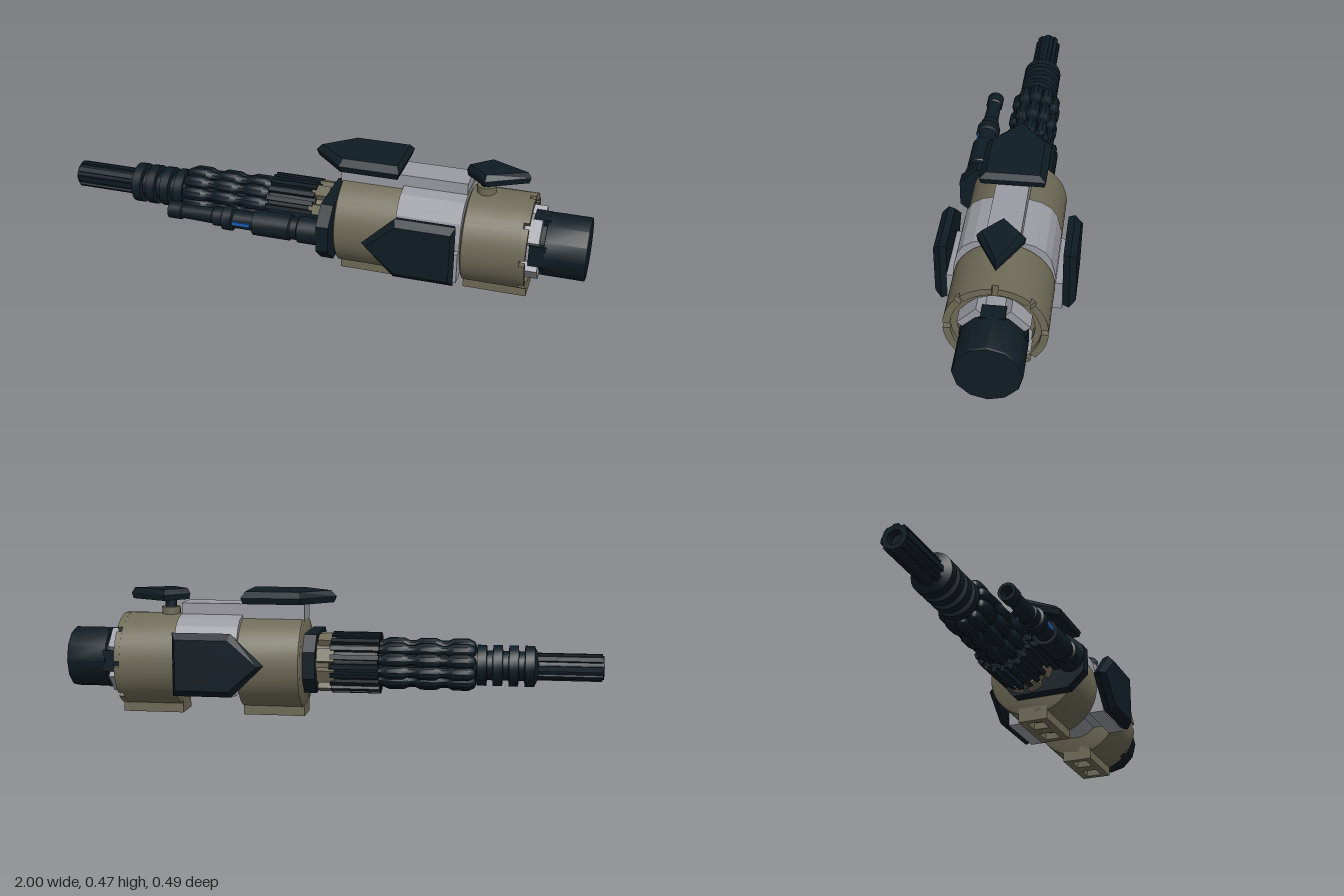
import * as THREE from 'three';
import { toCreasedNormals } from 'three/addons/utils/BufferGeometryUtils.js';

const AXIS = 0.2; // height of the main axis
const mat = (color) => new THREE.MeshStandardMaterial({ color, side: THREE.DoubleSide });
const DARK = mat(0x0f1c24), KHAKI = mat(0x6f6b58), GREY = mat(0x9b9ca3), BLUE = mat(0x1d5fb4);

export function createModel() {
  const model = new THREE.Group();

  const add = (name, geo, material, x = 0, y = 0, z = 0, parent = model) => {
    const mesh = new THREE.Mesh(geo, material);
    mesh.name = name;
    mesh.position.set(x, y, z);
    parent.add(mesh);
    return mesh;
  };
  const box = (name, material, x0, x1, y0, y1, z0, z1) =>
    add(name, new THREE.BoxGeometry(x1 - x0, y1 - y0, z1 - z0), material, (x0 + x1) / 2, (y0 + y1) / 2, (z0 + z1) / 2);

  // Turned part along x from [x, radius] pairs
  const turned = (pts, sides = 32) => {
    const g = new THREE.LatheGeometry(pts.map(([x, r]) => new THREE.Vector2(r, x)), sides);
    g.rotateZ(-Math.PI / 2);
    return toCreasedNormals(g, 0.6);
  };
  const shapeOf = (pts) => new THREE.Shape(pts.map(([a, b]) => new THREE.Vector2(a, b)));
  // Cross-section given as [z, y], extruded from x0 to x1
  const section = (shape, x0, x1) => {
    const g = new THREE.ExtrudeGeometry(shape, { depth: x1 - x0, bevelEnabled: false, curveSegments: 6 });
    g.rotateY(Math.PI / 2);
    g.translate(x0, 0, 0);
    return g;
  };
  // Repeat a box around the main axis
  const ring = (name, n, material, x0, x1, r0, r1, width, phase = 0) => {
    const group = new THREE.Group();
    group.name = name;
    group.position.y = AXIS;
    for (let i = 0; i < n; i++) {
      const g = new THREE.BoxGeometry(x1 - x0, r1 - r0, width);
      g.translate((x0 + x1) / 2, (r0 + r1) / 2, 0);
      add(name + 'Piece', g, material, 0, 0, 0, group).rotation.x = phase + (i / n) * Math.PI * 2;
    }
    model.add(group);
  };

  // Hollow fluted barrel
  add('barrel', turned([[-0.97, 0], [-0.97, 0.026], [-1, 0.026], [-1, 0.044], [-0.7, 0.044]], 16), DARK, 0, AXIS);
  ring('barrelFlute', 8, DARK, -0.995, -0.72, 0.035, 0.05, 0.02);

  // Grooved neck
  const neck = [[-0.765, 0.044], [-0.755, 0.066]];
  for (let i = 0; i < 4; i++) {
    const x = -0.75 + i * 0.058;
    neck.push([x, 0.076], [x + 0.034, 0.076], [x + 0.036, 0.055], [x + 0.056, 0.055]);
  }
  add('neckRings', turned(neck, 24), DARK, 0, AXIS);

  // Bundle of bulging rods
  add('rodCore', turned([[-0.55, 0], [-0.55, 0.064], [-0.17, 0.064]], 20), DARK, 0, AXIS);
  const rod = [[-0.54, 0], [-0.535, 0.014]];
  for (let i = 0; i < 3; i++) {
    const x = -0.53 + i * 0.12;
    rod.push([x, 0.019], [x + 0.02, 0.028], [x + 0.075, 0.028], [x + 0.095, 0.019], [x + 0.115, 0.019]);
  }
  const rodGeo = turned(rod, 10);
  for (let i = 0; i < 10; i++) {
    const a = (i / 10) * Math.PI * 2;
    add('rod', rodGeo, DARK, 0, AXIS + 0.07 * Math.cos(a), 0.07 * Math.sin(a));
  }

  // Ribbed grip
  add('ribbedSleeve', turned([[-0.18, 0], [-0.18, 0.1], [0, 0.1], [0, 0]]), DARK, 0, AXIS);
  ring('sleeveRib', 20, DARK, -0.185, -0.005, 0.09, 0.115, 0.018);

  // Notched collar and flange in front of the drum
  add('collar', turned([[-0.02, 0], [-0.02, 0.088], [0.1, 0.088]]), KHAKI, 0, AXIS);
  ring('collarTooth', 8, KHAKI, -0.02, 0.045, 0.08, 0.108, 0.05, Math.PI / 8);
  add('flange', section(shapeOf([[-0.225, 0.15], [-0.16, 0.09], [0.06, 0.09], [0.11, 0.15],
    [0.11, 0.25], [0.06, 0.31], [-0.16, 0.31], [-0.225, 0.25]]), 0.05, 0.097), DARK);

  // Two drums with slotted feet
  const drum = (name, x0, x1, rearTeeth) => {
    const end = rearTeeth ? x1 - 0.02 : x1;
    const hollow = rearTeeth ? [[end, 0.152], [end, 0.128], [end - 0.04, 0.128], [end - 0.04, 0]] : [[end, 0]];
    add(name, turned([[x0, 0], [x0, 0.165], [x0 + 0.006, 0.175], [end, 0.175], ...hollow], 40), KHAKI, 0, AXIS);
    const w = (x1 - x0) / 2;
    const foot = shapeOf([[-w, -0.058], [w, -0.058], [w, 0.058], [-w, 0.058]]);
    for (const s of [-1, 1]) {
      const c = s * w * 0.5, h = w * 0.28;
      foot.holes.push(new THREE.Path([[-h, -0.03], [-h, 0.03], [h, 0.03], [h, -0.03]]
        .map(([a, b]) => new THREE.Vector2(c + a, b))));
    }
    const g = new THREE.ExtrudeGeometry(foot, { depth: 0.055, bevelEnabled: false });
    g.rotateX(-Math.PI / 2);
    add(name + 'Foot', g, KHAKI, (x0 + x1) / 2);
  };
  drum('frontDrum', 0.097, 0.33, false);
  drum('rearDrum', 0.565, 0.797, true);

  // Arc-shaped rim segments at the rear
  for (let i = 0; i < 8; i++) {
    const s = new THREE.Shape(), a = (i / 8) * Math.PI * 2 + 0.06, b = a + Math.PI / 4 - 0.12;
    s.absarc(0, 0, 0.175, a, b, false);
    s.absarc(0, 0, 0.15, b, a, true);
    add('rimSegment', section(s, 0.775, 0.797), KHAKI, 0, AXIS);
  }

  // Middle saddle, flat below, with side brackets
  const half = [[0.2, 0.095], [0.2, 0.21], [0.176, 0.21], [0.176, 0.24], [0.16, 0.31], [0.14, 0.343], [0.104, 0.367], [0.05, 0.38]];
  const mirrored = half.map(([z, y]) => [-z, y]).reverse();
  const saddle = shapeOf([...half, ...mirrored, [-0.14, 0.095], [-0.14, 0.13], [0.14, 0.13], [0.14, 0.095]]);
  add('saddle', section(saddle, 0.33, 0.565), GREY);
  add('saddleCore', turned([[0.32, 0.104], [0.57, 0.104]], 24), GREY, 0, AXIS);
  box('topRail', GREY, 0.097, 0.563, 0.36, 0.42, -0.058, 0.058);

  // Armour plates: outline [x, across], upper edge tapered inward
  const plate = (name, pts, thick, cx) => {
    const g = new THREE.ExtrudeGeometry(shapeOf(pts), { depth: thick, steps: 2, bevelEnabled: false });
    const p = g.attributes.position;
    for (let i = 0; i < p.count; i++) {
      const t = p.getZ(i) / thick, k = t > 0.9 ? 0.8 : t < 0.1 ? 0.95 : 1;
      p.setXY(i, cx + (p.getX(i) - cx) * (t > 0.9 ? 0.9 : k), p.getY(i) * k);
    }
    g.rotateX(-Math.PI / 2);
    g.computeVertexNormals();
    return add(name, g, DARK);
  };
  const arrow = (x0, x1, w) => [[x0, 0], [x0 + 0.12, -w], [x1, -w], [x1, w], [x0 + 0.12, w]];
  plate('topPlate', arrow(-0.017, 0.325, 0.117), 0.045, 0.2).position.y = 0.425;
  for (const s of [-1, 1]) {
    const side = plate('sidePlate', arrow(0.22, 0.558, 0.117), 0.046, 0.42);
    side.rotation.x = s * Math.PI / 2;
    side.position.set(0, 0.2125, s * 0.199);
  }
  plate('rearTopPlate', [[0.545, 0], [0.625, -0.082], [0.775, 0], [0.625, 0.082]], 0.042, 0.64).position.y = 0.428;
  add('plateSocket', new THREE.CylinderGeometry(0.035, 0.035, 0.05, 20), KHAKI, 0.62, 0.375);
  add('plateStem', new THREE.CylinderGeometry(0.022, 0.022, 0.05, 16), DARK, 0.62, 0.415);

  // Rear cap with its neck and lugs
  add('capNeck', turned([[0.74, 0.1], [0.83, 0.1]], 24), GREY, 0, AXIS);
  ring('capLug', 4, GREY, 0.74, 0.835, 0.09, 0.125, 0.09, Math.PI / 4);
  ring('capTab', 4, DARK, 0.8, 0.86, 0.09, 0.11, 0.08);
  add('endCap', turned([[0.81, 0], [0.81, 0.1], [0.85, 0.1], [0.852, 0.115], [0.995, 0.115], [1, 0.112], [1, 0]], 12), DARK, 0, AXIS);

  // Slim secondary barrel on the front side
  add('sideBody', turned([[-0.2, 0], [-0.2, 0.048], [-0.06, 0.048], [-0.055, 0.042], [-0.03, 0.042],
    [-0.025, 0.05], [0.08, 0.05]], 20), DARK, 0, AXIS, 0.173);
  add('sideBarrel', turned([[-0.49, 0], [-0.49, 0.02], [-0.54, 0.022], [-0.54, 0.033], [-0.49, 0.033], [-0.485, 0.027],
    [-0.365, 0.03], [-0.36, 0.036], [-0.325, 0.036], [-0.32, 0.046], [-0.285, 0.046], [-0.28, 0.034], [-0.19, 0.034]], 16),
    DARK, 0, AXIS, 0.173);
  box('glowStrip', BLUE, -0.28, -0.21, 0.193, 0.207, 0.19, 0.212);
  box('sideMount', DARK, -0.17, 0.06, 0.17, 0.23, 0.08, 0.15);

  return model;
}
